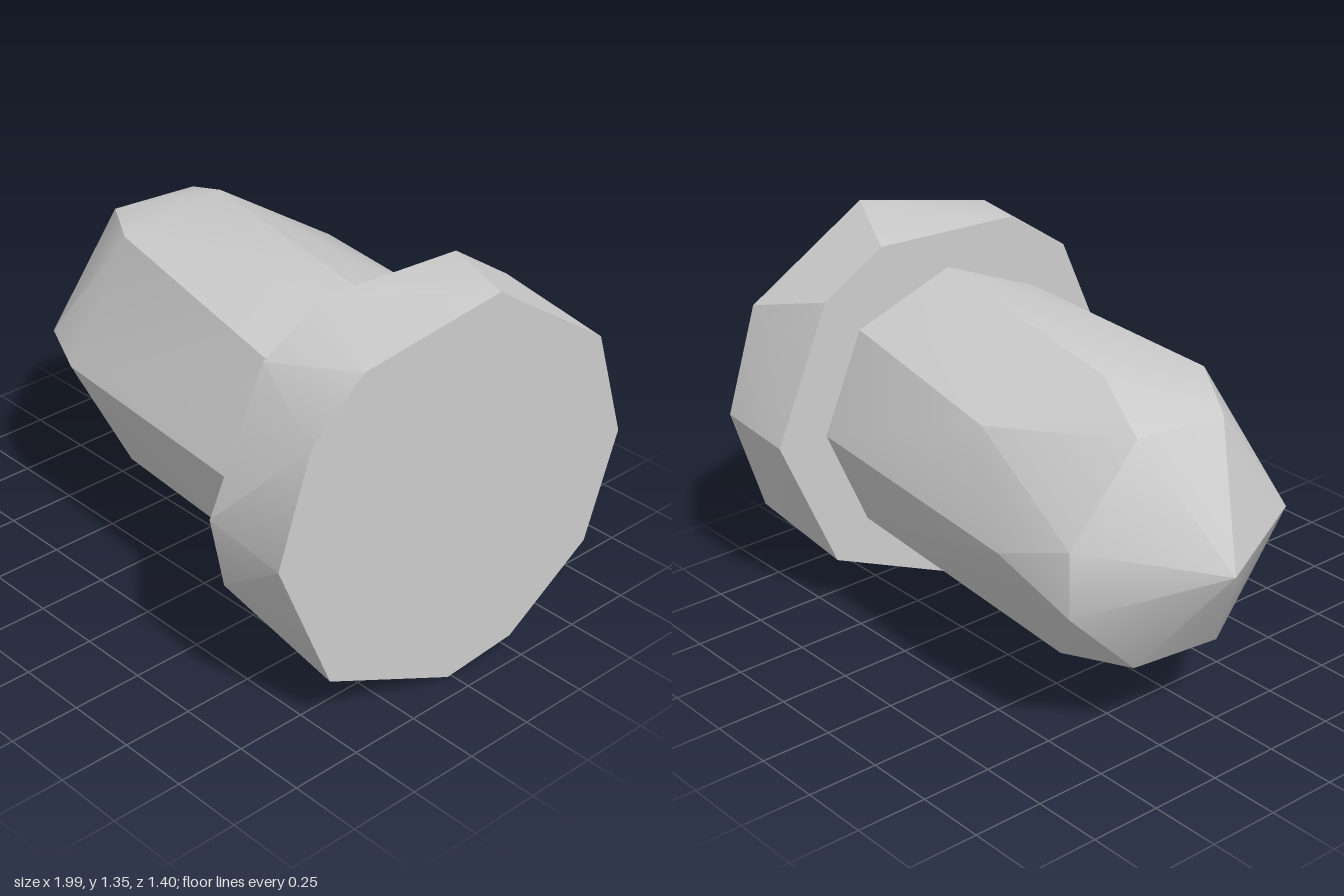
import * as THREE from 'three';
import { toCreasedNormals } from 'three/addons/utils/BufferGeometryUtils.js';
import { ConvexGeometry } from 'three/addons/geometries/ConvexGeometry.js';

const CENTRE_Y = 0.69;
const SLOPE = 0.097; // the axis swings slightly towards +z
const CREASE = Math.PI / 6;

// Ring of [z, y] points on a plane square to the axis, crossing z = 0 at x0
const ring = (x0, points) =>
  points.map(([z, y]) => new THREE.Vector3(x0 - SLOPE * z, y, z));

// Points of a circle on that plane, at the given angles in degrees
const circle = (x0, z0, r, angles) => ring(x0, angles.map((a) => {
  const t = THREE.MathUtils.degToRad(a);
  return [z0 + r * Math.cos(t), CENTRE_Y + r * Math.sin(t)];
}));

const vectors = (points) => points.map((p) => new THREE.Vector3(...p));

function facetedPart(name, points, material) {
  const geometry = toCreasedNormals(new ConvexGeometry(points), CREASE);
  const mesh = new THREE.Mesh(geometry, material);
  mesh.name = name;
  return mesh;
}

export function createModel() {
  const group = new THREE.Group();
  group.name = 'bluntBolt';
  const grey = new THREE.MeshStandardMaterial({ color: 0xcccccc });
  grey.name = 'light grey';

  // Wide flange with unevenly spaced facets on its two rims
  const backRim = circle(0.574, -0.02, 0.68,
    [0, 45, 67.5, 112.5, 135, 180, 225, 270, 292.5, 337.5]);
  const frontRim = circle(0.925, 0.015, 0.682,
    [0, 33.75, 56.25, 101.25, 146.25, 180, 213.75, 247.5, 270, 315]);
  group.add(facetedPart('flange', [...backRim, ...frontRim], grey));

  // Eight-sided shank running into a faceted, pointed nose
  const base = circle(0.58, -0.02, 0.5, [0, 45, 90, 135, 180, 225, 270, 315]);
  const shoulder = vectors([
    [-0.52, 0.69, 0.385], [-0.49, 1.115, 0.16], [-0.45, 1.18, -0.23],
    [-0.2, 1.01, -0.51], [-0.41, 0.69, -0.625], [-0.42, 0.25, -0.38],
    [-0.49, 0.245, 0.16],
  ]);
  const nose = vectors([
    [-0.765, 0.69, 0.27], [-0.74, 1.08, 0], [-0.7, 1.08, -0.32],
    [-0.68, 0.78, -0.57], [-0.68, 0.55, -0.57], [-0.7, 0.295, -0.32],
    [-0.74, 0.295, 0], [-1, 0.69, -0.19],
  ]);
  group.add(facetedPart('shankAndNose', [...base, ...shoulder, ...nose], grey));

  return group;
}
